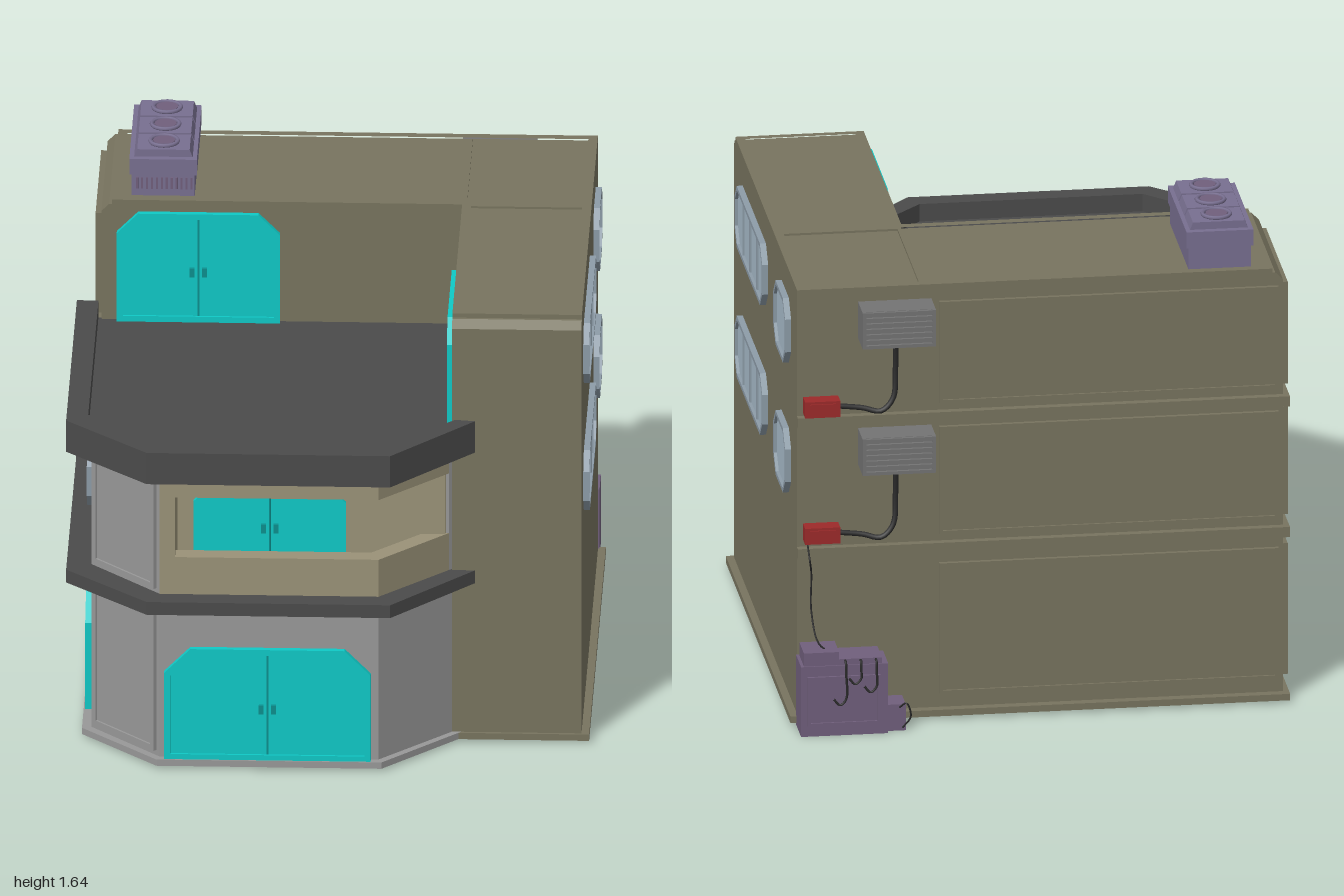
import * as THREE from 'three';

const C = {
  tan: 0x78745f, lightTan: 0x9a9278, grey: 0x989898, dark: 0x4b4b4b, teal: 0x0fc9c6, handle: 0x0b8f8e,
  glass: 0xa9bccb, frame: 0x8d9ca8, purple: 0x786f90, plum: 0x705f7c, red: 0x9c2a2a, unit: 0x747474, black: 0x2a2a2a,
};
const mats = {};
const mat = (k) => (mats[k] ??= new THREE.MeshStandardMaterial({ color: C[k] }));

function add(parent, name, geo, color) {
  const m = new THREE.Mesh(geo, mat(color));
  m.name = name;
  parent.add(m);
  return m;
}
const toShape = (pts) => new THREE.Shape(pts.map(([x, y]) => new THREE.Vector2(x, y)));
const extrude = (shape, depth) => new THREE.ExtrudeGeometry(shape, { depth, bevelEnabled: false });

// Upright prism over a plan outline of [x, z] points
function prism(parent, name, pts, y0, y1, color, hole) {
  const s = toShape(pts.map(([x, z]) => [x, -z]));
  if (hole) s.holes.push(toShape(hole.map(([x, z]) => [x, -z])));
  return add(parent, name, extrude(s, y1 - y0).rotateX(-Math.PI / 2).translate(0, y0, 0), color);
}
// Box given by its limits
function box(parent, name, x0, x1, y0, y1, z0, z1, color) {
  const g = new THREE.BoxGeometry(x1 - x0, y1 - y0, z1 - z0);
  return add(parent, name, g.translate((x0 + x1) / 2, (y0 + y1) / 2, (z0 + z1) / 2), color);
}
function tube(parent, name, pts, r, color) {
  const curve = new THREE.CatmullRomCurve3(pts.map((p) => new THREE.Vector3(...p)));
  return add(parent, name, new THREE.TubeGeometry(curve, 32, r, 6), color);
}
// Rectangle with cut corners: ct at the top, cb at the bottom
function cutRect(w, h, ct, cb, i = 0) {
  const x = w / 2 - i, y = h / 2 - i, t = Math.max(ct - i * 0.6, 0), b = Math.max(cb - i * 0.6, 0);
  const p = [[-x + b, -y], [x - b, -y]];
  if (b) p.push([x, -y + b]);
  p.push([x, y - t]);
  if (t) p.push([x - t, y], [-x + t, y]);
  p.push([-x, y - t]);
  if (b) p.push([-x, -y + b]);
  return p;
}
// Frame with a filled centre, facing +z before it is turned
function framed(parent, name, w, h, ct, cb, rim, depth, inner, frameColor, fillColor) {
  const g = new THREE.Group();
  g.name = name;
  parent.add(g);
  const ring = toShape(cutRect(w, h, ct, cb));
  ring.holes.push(toShape(cutRect(w, h, ct, cb, rim)));
  add(g, name + 'Frame', extrude(ring, depth), frameColor);
  add(g, name + 'Fill', extrude(toShape(cutRect(w, h, ct, cb, rim)), inner), fillColor);
  return g;
}
function place(g, x, y, z, turn) {
  g.position.set(x, y, z);
  g.rotation.y = turn;
}
function door(parent, w, h, cut, x, y, z, turn) {
  const g = framed(parent, 'door', w, h, cut, 0, 0.02, 0.02, 0.012, 'teal', 'teal');
  box(g, 'doorSeam', -0.003, 0.003, -h / 2 + 0.02, h / 2 - 0.02, 0.01, 0.015, 'handle');
  for (const s of [-1, 1]) box(g, 'doorHandle', s * 0.02 - 0.008, s * 0.02 + 0.008, -0.03, 0, 0.01, 0.024, 'handle');
  place(g, x, y + h / 2, z, turn);
}
function windowUnit(parent, w, h, panes, x, y, z, turn) {
  const g = framed(parent, 'window', w, h, 0.055, 0.055, 0.014, 0.02, 0.01, 'frame', 'glass');
  for (let i = 1; i < panes; i++) {
    const u = -w / 2 + (w * i) / panes;
    box(g, 'mullion', u - 0.005, u + 0.005, -h / 2 + 0.01, h / 2 - 0.01, 0, 0.016, 'frame');
  }
  place(g, x, y, z, turn);
}

function addMainBlock(root) {
  // Right wing and back wing, each with one chamfered roof edge
  const wing = toShape([[-0.69, 0.03], [0.83, 0.03], [0.83, 1.475], [-0.665, 1.475], [-0.69, 1.45]]);
  add(root, 'rightWing', extrude(wing, 0.42).rotateY(Math.PI / 2).translate(0.4, 0, 0), 'tan');
  const back = toShape([[-0.77, 0.03], [0.41, 0.03], [0.41, 1.475], [-0.745, 1.475], [-0.77, 1.45]]);
  add(root, 'backWing', extrude(back, 0.58).translate(0, 0, -0.83), 'tan');
  prism(root, 'roofCoping',
    [[-0.735, -0.835], [0.82, -0.835], [0.82, 0.655], [0.4, 0.655], [0.4, -0.25], [-0.735, -0.25]], 1.475, 1.49, 'tan',
    [[-0.705, -0.805], [0.79, -0.805], [0.79, 0.63], [0.43, 0.63], [0.43, -0.28], [-0.705, -0.28]]);
  box(root, 'roofDivider', 0.4, 0.415, 1.47, 1.482, -0.81, -0.27, 'tan');
  box(root, 'roofDivider', 0.41, 0.8, 1.47, 1.482, -0.27, -0.255, 'tan');
  prism(root, 'blockPlinth', [[-0.79, -0.86], [0.845, -0.86], [0.845, 0.7], [0.4, 0.7], [0.4, -0.25], [-0.79, -0.25]], 0.01, 0.032, 'tan');

  // Raised wall panels and string courses on the back and left walls
  for (const [y0, y1] of [[0.08, 0.53], [0.63, 1.0], [1.08, 1.43]]) {
    const h = y1 - y0, y = (y0 + y1) / 2;
    place(framed(root, 'backPanel', 1.11, h, 0, 0, 0.012, 0.014, 0.007, 'tan', 'tan'), -0.2, y, -0.83, Math.PI);
    place(framed(root, 'sidePanel', 0.52, h, 0, 0, 0.012, 0.02, 0.012, 'tan', 'tan'), -0.77, y, -0.54, -Math.PI / 2);
  }
  for (const y of [0.57, 1.02]) {
    box(root, 'stringCourse', -0.79, 0.82, y, y + 0.035, -0.855, -0.82, 'tan');
    box(root, 'stringCourse', -0.79, -0.76, y, y + 0.035, -0.85, -0.25, 'tan');
  }
}

function addBay(root) {
  const outline = [[-0.77, -0.25], [-0.77, 0.69], [-0.54, 0.93], [0.17, 0.93], [0.4, 0.69], [0.4, -0.25]];
  const slab = [[-0.85, -0.26], [-0.85, 0.74], [-0.58, 1], [0.21, 1], [0.475, 0.7], [0.4, 0.7], [0.4, -0.26]];
  prism(root, 'bayPlinth', [[-0.8, -0.25], [-0.8, 0.7], [-0.55, 0.955], [0.18, 0.955], [0.43, 0.69], [0.4, -0.25]], 0.01, 0.032, 'grey');
  prism(root, 'bayFloor', outline, 0.006, 0.012, 'dark');
  prism(root, 'groundFloorWall', outline, 0.03, 0.56, 'grey');
  prism(root, 'middleSlab', slab, 0.56, 0.605, 'dark');

  // Upper floor with a balcony cut into the front
  prism(root, 'upperFloorWall',
    [[-0.77, -0.25], [-0.77, 0.69], [-0.54, 0.93], [-0.54, 0.7], [0.39, 0.7], [0.4, 0.69], [0.4, -0.25]], 0.605, 1.02, 'grey');
  box(root, 'balconyBackWall', -0.54, 0.38, 0.605, 1.02, 0.69, 0.71, 'lightTan');
  box(root, 'balconyPost', -0.54, -0.49, 0.605, 1.02, 0.7, 0.93, 'lightTan');
  const front = [[-0.54, 0.93], [0.17, 0.93], [0.39, 0.7], [-0.54, 0.7]];
  prism(root, 'balconyFloor', front, 0.605, 0.625, 'lightTan');
  prism(root, 'balconyLintel', front, 0.945, 1.02, 'lightTan');
  prism(root, 'balconyRail', [[-0.54, 0.93], [0.17, 0.93], [0.39, 0.7], [0.31, 0.7], [0.145, 0.87], [-0.54, 0.87]], 0.605, 0.735, 'lightTan');

  // Terrace slab with its raised edge
  prism(root, 'roofSlab', slab, 1.02, 1.07, 'dark');
  prism(root, 'roofParapet', [...slab.slice(0, 5), [0.41, 0.69], [0.18, 0.93], [-0.55, 0.93], [-0.78, 0.69], [-0.78, -0.26]], 1.07, 1.13, 'dark');

  // Panels on the left angled wall
  for (const [y0, y1] of [[0.05, 0.545], [0.62, 1.0]]) {
    const g = framed(root, 'cornerPanel', 0.3, y1 - y0, 0, 0, 0.018, 0.012, 0.005, 'grey', 'grey');
    place(g, -0.655, (y0 + y1) / 2, 0.81, Math.atan2(-0.24, 0.23));
  }
}

function addServices(root) {
  // Rooftop cooler with three fans
  const roof = new THREE.Group();
  roof.name = 'rooftopCooler';
  root.add(roof);
  box(roof, 'coolerBase', -0.675, -0.47, 1.475, 1.55, -0.765, -0.325, 'purple');
  box(roof, 'coolerBody', -0.682, -0.463, 1.55, 1.605, -0.772, -0.318, 'purple');
  for (let i = 0; i < 3; i++) {
    const z = -0.685 + i * 0.14;
    const cap = extrude(toShape([[-0.095, 0], [0.095, 0], [0.085, 0.025], [-0.085, 0.025]]), 0.128);
    add(roof, 'fanHousing', cap.translate(-0.572, 1.605, z - 0.064), 'purple');
    add(roof, 'fanRing', new THREE.TorusGeometry(0.045, 0.007, 6, 20).rotateX(Math.PI / 2).translate(-0.572, 1.635, z), 'purple');
    add(roof, 'fanHub', new THREE.CylinderGeometry(0.036, 0.036, 0.008, 16).translate(-0.572, 1.634, z), 'plum');
  }
  for (let i = 0; i < 12; i++) {
    const x = -0.66 + i * 0.016;
    box(roof, 'coolerVent', x, x + 0.007, 1.5, 1.54, -0.33, -0.32, 'plum');
  }

  // Wall coolers, junction boxes and hoses, one set per upper floor
  for (const y of [0.88, 1.315]) {
    const g = new THREE.Group();
    g.name = 'wallCooler';
    g.position.y = y;
    root.add(g);
    box(g, 'coolerCase', 0.38, 0.62, 0, 0.125, -0.935, -0.83, 'unit');
    for (const x of [0.38, 0.608]) box(g, 'coolerRim', x, x + 0.012, 0, 0.125, -0.945, -0.935, 'unit');
    for (let i = 0; i < 7; i++) box(g, 'coolerSlat', 0.392, 0.608, i * 0.0188, i * 0.0188 + 0.011, -0.945, -0.935, 'unit');
    box(g, 'junctionBox', 0.685, 0.8, -0.25, -0.195, -0.885, -0.83, 'red');
    box(g, 'junctionLid', 0.7, 0.785, -0.242, -0.203, -0.89, -0.885, 'red');
    tube(g, 'coolerHose', [[0.5, 0.01, -0.855], [0.5, -0.1, -0.85], [0.51, -0.2, -0.865], [0.55, -0.24, -0.87], [0.61, -0.23, -0.86], [0.69, -0.22, -0.86]], 0.009, 'black');
  }
  tube(root, 'cable', [[0.79, 0.63, -0.86], [0.79, 0.59, -0.92], [0.78, 0.53, -0.885], [0.78, 0.4, -0.885], [0.76, 0.3, -0.92], [0.72, 0.27, -0.93]], 0.003, 'black');

  // Ground cabinet against the back wall
  const cab = new THREE.Group();
  cab.name = 'groundCabinet';
  root.add(cab);
  box(cab, 'cabinetBody', 0.54, 0.825, 0, 0.24, -0.97, -0.845, 'plum');
  box(cab, 'cabinetTop', 0.56, 0.815, 0.24, 0.26, -0.965, -0.855, 'plum');
  box(cab, 'cabinetCap', 0.7, 0.815, 0.26, 0.285, -0.965, -0.855, 'plum');
  box(cab, 'cabinetStep', 0.48, 0.54, 0, 0.09, -0.95, -0.86, 'plum');
  place(framed(cab, 'cabinetDoor', 0.24, 0.17, 0, 0, 0.012, 0.01, 0.004, 'plum', 'plum'), 0.685, 0.12, -0.968, Math.PI);
  for (const [x, drop] of [[0.58, 0.17], [0.63, 0.2], [0.68, 0.13]])
    tube(cab, 'cabinetPipe', [[x, 0.25, -0.95], [x, 0.255, -0.98], [x, 0.22, -0.988], [x, drop, -0.988], [x + 0.02, drop - 0.02, -0.988], [x + 0.04, drop, -0.985]], 0.004, 'black');
  tube(cab, 'groundCable', [[0.5, 0.08, -0.95], [0.48, 0.1, -0.97], [0.465, 0.05, -0.96], [0.49, 0.01, -0.95]], 0.003, 'black');
}

export function createModel() {
  const root = new THREE.Group();
  root.name = 'building';
  addMainBlock(root);
  addBay(root);

  // Doors
  const q = Math.PI / 2;
  door(root, 0.67, 0.39, 0.085, -0.19, 0.03, 0.93, 0);
  door(root, 0.67, 0.39, 0.085, -0.775, 0.03, 0.21, -q);
  door(root, 0.495, 0.285, 0.065, -0.19, 0.625, 0.705, 0);
  door(root, 0.53, 0.38, 0.07, -0.455, 1.07, -0.25, 0);
  door(root, 0.53, 0.38, 0.07, 0.402, 1.07, 0.395, -q);

  // Windows
  for (const y of [0.833, 1.28]) {
    windowUnit(root, 0.67, 0.212, 4, 0.82, y, 0.195, q);
    windowUnit(root, 0.285, 0.222, 1, 0.82, y + 0.003, -0.55, q);
  }
  windowUnit(root, 0.67, 0.212, 4, -0.77, 0.833, 0.21, -q);

  addServices(root);
  return root;
}
